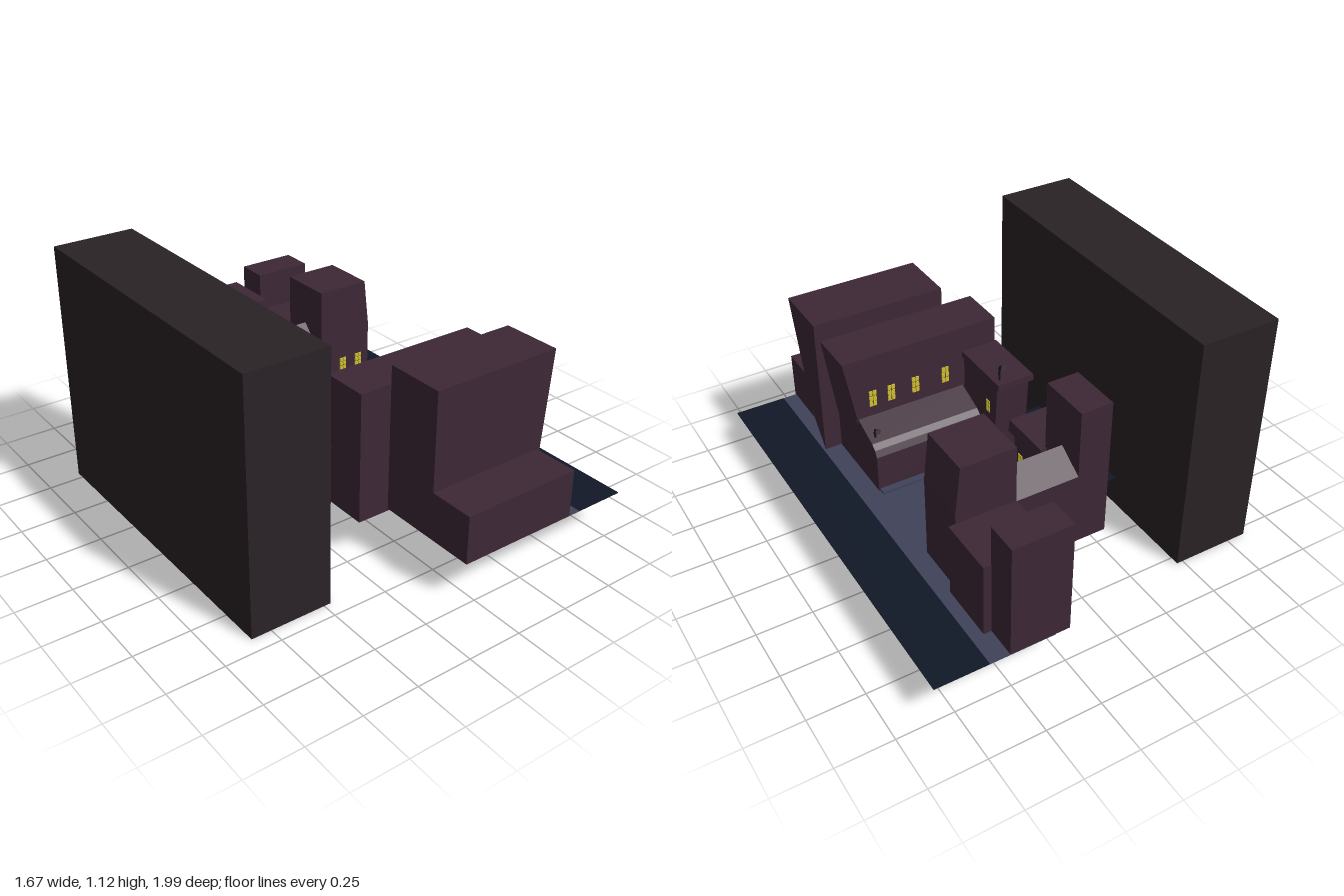
import * as THREE from 'three';

const mat = (color) => new THREE.MeshStandardMaterial({ color, flatShading: true, side: THREE.DoubleSide });

export function createModel() {
  const root = new THREE.Group();
  const house = mat(0x3d2836), slab = mat(0x2a2226), road = mat(0x111827);
  const street = mat(0x40435a), glow = mat(0xd0c030), dark = mat(0x1e161b);

  const add = (name, geometry, material, parent = root) => {
    const m = new THREE.Mesh(geometry, material);
    m.name = name;
    parent.add(m);
    return m;
  };

  // Box given by its limits; shift(v) may move its corners
  const block = (name, [x0, x1], [y0, y1], [z0, z1], material = house, shift = null) => {
    const g = new THREE.BoxGeometry(x1 - x0, y1 - y0, z1 - z0);
    g.translate((x0 + x1) / 2, (y0 + y1) / 2, (z0 + z1) / 2);
    if (shift) {
      const p = g.attributes.position, v = new THREE.Vector3();
      for (let i = 0; i < p.count; i++) {
        shift(v.fromBufferAttribute(p, i));
        p.setXYZ(i, v.x, v.y, v.z);
      }
      g.computeVertexNormals();
    }
    return add(name, g, material);
  };

  // Profile of [z, y] points carried along x
  const prism = (name, points, x0, x1) => {
    const s = new THREE.Shape(points.map(([z, y]) => new THREE.Vector2(-z, y)));
    const g = new THREE.ExtrudeGeometry(s, { depth: x1 - x0, bevelEnabled: false });
    g.rotateY(Math.PI / 2);
    g.translate(x0, 0, 0);
    return add(name, g, house);
  };

  // Window of small lit panes; turn is the heading of its face
  const litWindow = (x, y, z, turn, w = 0.034, h = 0.066) => {
    const g = new THREE.Group();
    g.name = 'window';
    for (let i = 0; i < 2; i++) for (let j = 0; j < 3; j++) {
      const pane = add('pane', new THREE.BoxGeometry(w * 0.43, h * 0.28, 0.006), glow, g);
      pane.position.set((i - 0.5) * w * 0.52, (j - 1) * h * 0.35, 0);
    }
    g.position.set(x, y, z);
    g.rotation.y = turn;
    root.add(g);
  };

  // Bent stove pipe with a flared mouth
  const stovePipe = (x, y, z, h) => {
    const g = new THREE.Group();
    g.name = 'stovePipe';
    const path = new THREE.CatmullRomCurve3([[0, 0, 0], [0, h * 0.6, 0], [0, h * 0.88, -0.008], [0, h * 0.95, -0.024]]
      .map((p) => new THREE.Vector3(...p)));
    add('pipe', new THREE.TubeGeometry(path, 8, 0.006, 6), dark, g);
    const mouth = add('pipeMouth', new THREE.CylinderGeometry(0.013, 0.008, 0.016, 8), dark, g);
    mouth.rotation.x = -1.2;
    mouth.position.set(0, h * 0.95, -0.026);
    g.position.set(x, y, z);
    root.add(g);
  };

  // Backdrop and ground
  block('backWall', [-0.84, -0.47], [0, 1.125], [-0.79, 0.68], slab);
  block('road', [0.595, 0.835], [0.174, 0.177], [-1, 0.98], road);
  block('rearYard', [-0.445, -0.212], [0.174, 0.177], [-0.35, 0.285], road);
  block('streetSquare', [-0.212, 0.3], [0.174, 0.177], [-0.35, 0.285], street);
  block('streetStrip', [0.3, 0.595], [0.174, 0.177], [-1, 0.98], street);
  block('kerb', [-0.02, 0.5], [0.177, 0.188], [-0.35, -0.322], street);
  block('kerb', [-0.02, 0.5], [0.177, 0.188], [0.078, 0.11], street);

  // Near row: low annex, tall house and overhanging house
  block('lowAnnex', [-0.04, 0.53], [0.18, 0.4], [0.76, 0.985]);
  block('tallHouse', [-0.04, 0.586], [0.18, 0.85], [0.5, 0.775], house, (v) => {
    if (v.x > 0.5 && v.y < 0.5 && v.z > 0.7) v.x = 0.525;
  });
  block('overhangHouseBase', [-0.19, 0.505], [0.17, 0.44], [0.28, 0.5]);
  block('overhangHouse', [-0.19, 0.562], [0.37, 0.765], [0.28, 0.5], house, (v) => {
    if (v.y < 0.5) {
      if (v.z < 0.4) v.y = 0.455;
      if (v.x > 0) v.x = 0.508;
    }
  });
  for (const x of [0.07, 0.22, 0.34, 0.43]) litWindow(x, 0.55, 0.278, Math.PI, 0.036, 0.08);

  // Bowed front room below the overhang
  prism('frontRoom', [[0.28, 0.17], [0.28, 0.46], [0.15, 0.41], [0.125, 0.39], [0.11, 0.36], [0.11, 0.17]], -0.02, 0.505);
  stovePipe(0.475, 0.415, 0.18, 0.055);

  // Leaning corner house with a flat roof
  block('cornerHouse', [-0.19, -0.03], [0.17, 0.615], [-0.01, 0.29], house, (v) => {
    if (v.y < 0.3 && v.z < 0.1) v.z = 0.022;
  });
  block('cornerHouseRoof', [-0.198, -0.02], [0.612, 0.642], [-0.035, 0.285]);
  litWindow(-0.029, 0.473, 0.065, Math.PI / 2, 0.03, 0.06);
  stovePipe(-0.05, 0.64, 0.005, 0.085);

  // Small cottage with a thick overhanging roof
  block('cottage', [-0.21, -0.045], [0.17, 0.45], [-0.35, -0.13], house, (v) => {
    if (v.y < 0.3 && v.z > -0.2) v.z = -0.142;
  });
  block('cottageRoof', [-0.235, -0.03], [0.445, 0.51], [-0.362, -0.105], house, (v) => {
    if (v.y > 0.48) { v.x *= 0.97; if (v.z > -0.2) v.z = -0.115; }
  });
  for (const z of [-0.183, -0.243]) litWindow(-0.044, 0.315, z, Math.PI / 2, 0.032, 0.088);
  block('cottageStep', [-0.045, -0.03], [0.177, 0.2], [-0.25, -0.185]);

  // Far row: narrow tower, gabled hall, tapered house and the end houses
  block('narrowTower', [-0.21, -0.06], [0.17, 0.835], [-0.597, -0.35]);
  prism('gabledHall', [[-0.597, 0.17], [-0.597, 0.52], [-0.472, 0.6], [-0.35, 0.47], [-0.35, 0.17]], -0.06, 0.24);
  block('taperedHouseBase', [0.235, 0.51], [0.165, 0.57], [-0.597, -0.345]);
  block('taperedHouseTop', [0.235, 0.51], [0.57, 0.79], [-0.597, -0.345], house, (v) => {
    if (v.y > 0.7 && v.x > 0.4) v.x = 0.485;
  });
  for (const x of [0.25, 0.36, 0.45]) litWindow(x, 0.4, -0.343, 0, 0.036, 0.06);
  block('endHouse', [0.235, 0.54], [0.175, 0.525], [-0.86, -0.595]);
  block('endTower', [0.235, 0.505], [0.177, 0.71], [-1, -0.855]);

  return root;
}
